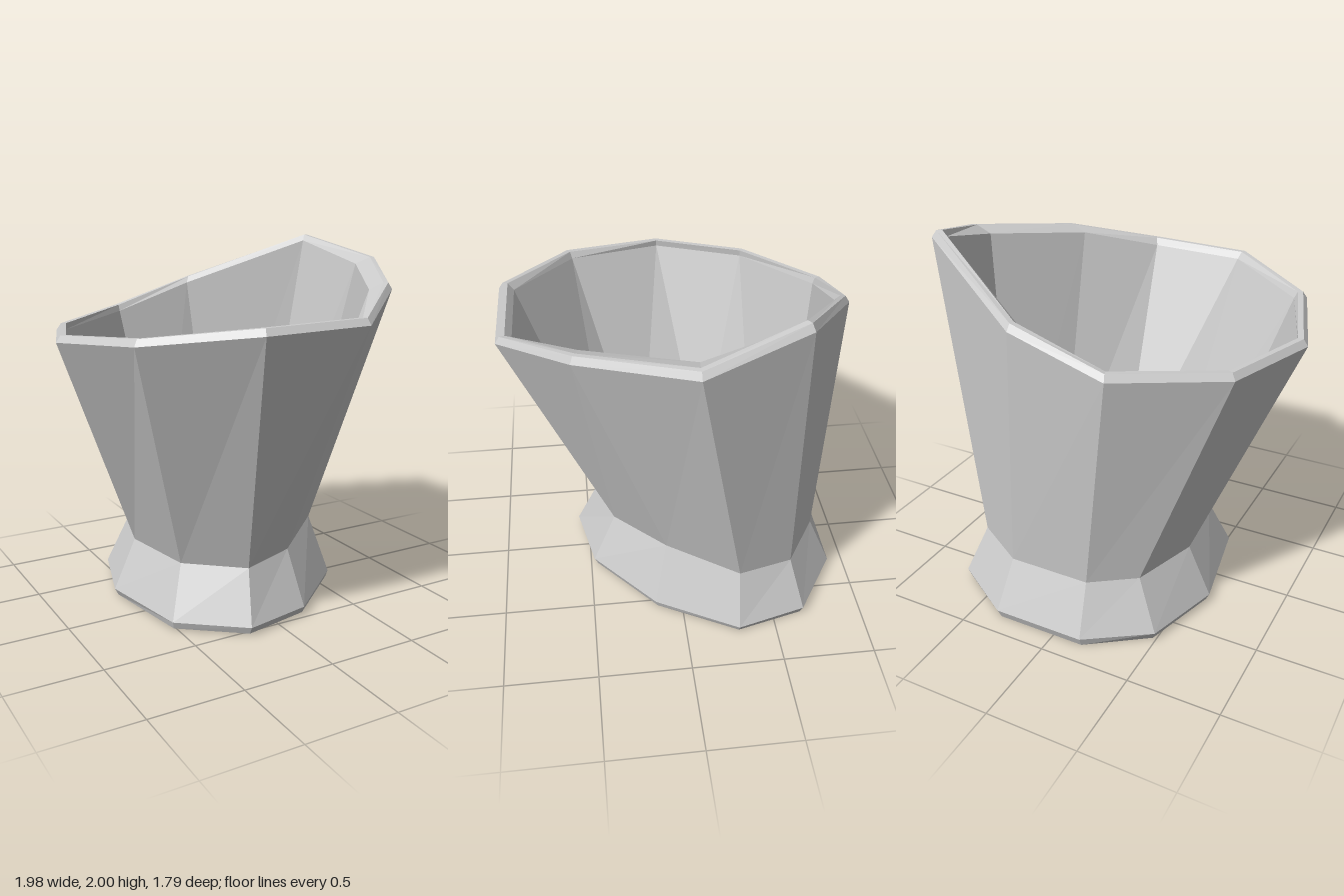
import * as THREE from 'three';

// Ten-sided rings as [x, y, z], running from the right side round the back to the left and front
const bottom = [[-.61, .01, -.25], [-.48, .0, -.66], [-.17, 0, -.88], [.33, 0, -.88], [.68, 0, -.66],
  [.78, .01, -.29], [.56, .02, .14], [.18, .01, .46], [-.2, .01, .54], [-.52, .01, .29]];
const flare = [[-.63, .05, -.25], [-.5, .05, -.68], [-.17, .05, -.9], [.34, .05, -.9], [.7, .05, -.67],
  [.8, .05, -.29], [.57, .06, .15], [.18, .05, .48], [-.2, .05, .56], [-.53, .05, .3]];
const waist = [[-.5, .33, -.25], [-.38, .33, -.62], [-.15, .33, -.78], [.3, .33, -.78], [.59, .33, -.6],
  [.68, .35, -.3], [.47, .4, .08], [.15, .35, .35], [-.15, .33, .44], [-.43, .33, .2]];
const edge = [[-.99, 1.53, -.02], [-.81, 1.52, -.53], [-.33, 1.56, -.89], [.17, 1.71, -.89], [.84, 1.965, -.53],
  [.99, 1.85, -.02], [.66, 1.76, .53], [.25, 1.64, .89], [-.33, 1.63, .89], [-.81, 1.57, .53]];
const lip = [[-.94, -.02], [-.77, -.5], [-.31, -.83], [.14, -.82], [.78, -.49],
  [.84, -.03], [.54, .49], [.22, .81], [-.3, .81], [-.75, .49]].map(([x, z], i) => [x, edge[i][1], z]);
const floorRing = [[-.41, -.24], [-.31, -.55], [-.1, -.7], [.26, -.7], [.52, -.55],
  [.6, -.3], [.45, -.01], [.17, .24], [-.13, .33], [-.35, .14]].map(([x, z]) => [x, .28, z]);

// The rim's top edges follow the outer edge, drawn in a little and raised
const raised = (s) => edge.map(([x, y, z]) => [x * s, y + .035, z * s]);

const centre = (ring) => [0, 1, 2].map((k) => ring.reduce((sum, p) => sum + p[k], 0) / ring.length);

// Joins consecutive rings with flat faces; a cap closes the first or last ring
function skin(name, rings, cap) {
  const pos = [];
  const tri = (...pts) => pts.forEach((p) => pos.push(...p));
  const n = rings[0].length;
  const first = rings[0], last = rings[rings.length - 1];
  for (let i = 0; i < n; i++) {
    const j = (i + 1) % n;
    for (let r = 0; r + 1 < rings.length; r++) {
      const a = rings[r], b = rings[r + 1];
      tri(a[j], a[i], b[i]);
      tri(a[j], b[i], b[j]);
    }
    if (cap === 'start') tri(centre(first), first[i], first[j]);
    if (cap === 'end') tri(last[j], last[i], centre(last));
  }
  const geometry = new THREE.BufferGeometry();
  geometry.setAttribute('position', new THREE.Float32BufferAttribute(pos, 3));
  geometry.computeVertexNormals();
  const mesh = new THREE.Mesh(geometry, new THREE.MeshStandardMaterial({ color: 0xcccccc, flatShading: true }));
  mesh.name = name;
  return mesh;
}

export function createModel() {
  const cup = new THREE.Group();
  cup.name = 'cup';
  cup.add(
    // Flared foot with a bevelled, closed underside
    skin('foot', [bottom, flare, waist], 'start'),
    // Leaning outer wall
    skin('outerWall', [waist, edge]),
    // Bevelled, sloping rim
    skin('rim', [edge, raised(.975), raised(.945), lip]),
    // Hollow inside down to the floor
    skin('interior', [lip, floorRing], 'end'),
  );
  return cup;
}
